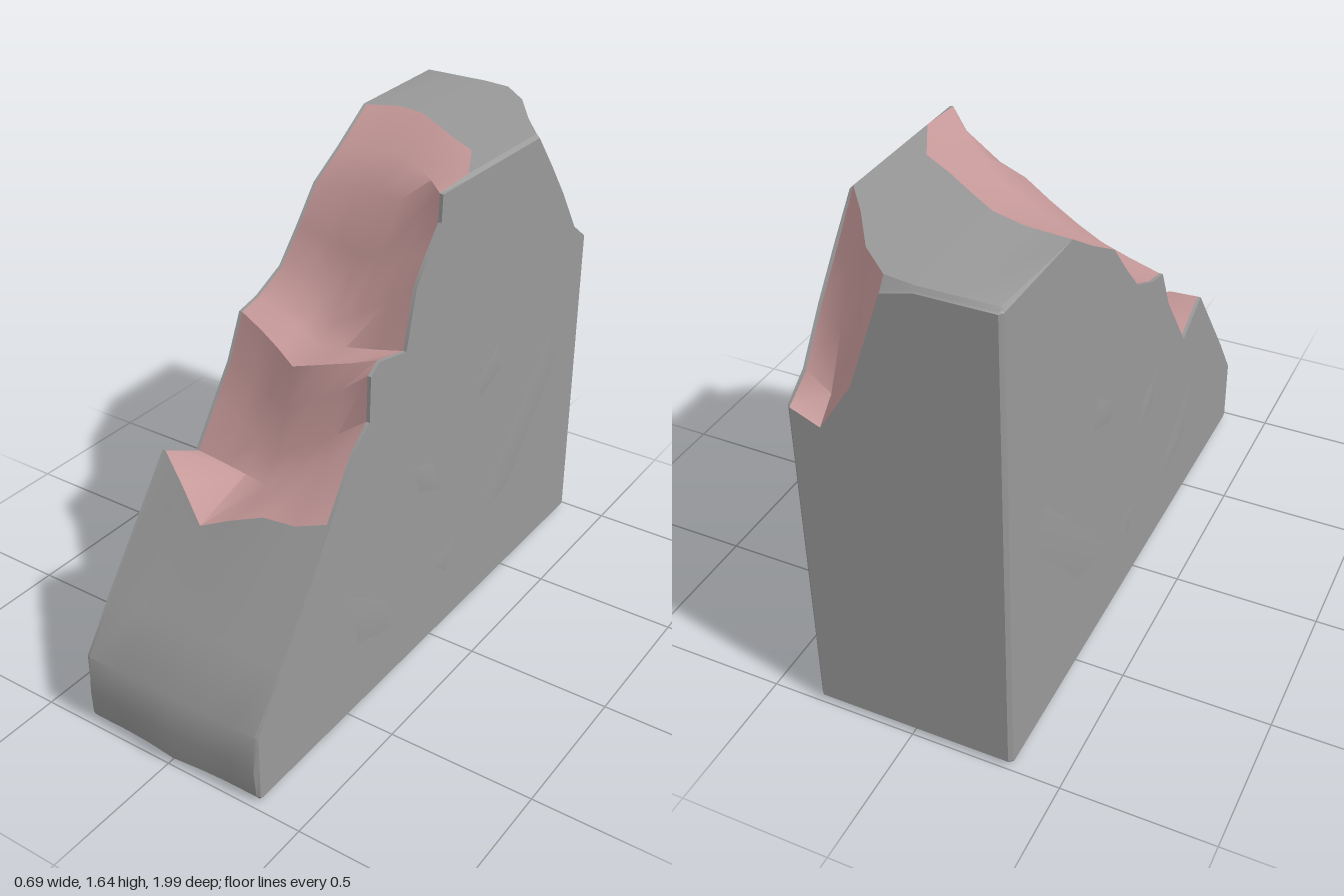
import * as THREE from 'three';
import { toCreasedNormals } from 'three/addons/utils/BufferGeometryUtils.js';

const grey = new THREE.MeshStandardMaterial({ color: 0x999999 });
const pink = new THREE.MeshStandardMaterial({ color: 0xc99b9b });
const lerp = THREE.MathUtils.lerp, clamp = THREE.MathUtils.clamp;

// Stations across the width of the wall
const X = [-0.325, -0.2, -0.09, 0.01, 0.12, 0.23, 0.325];
const SIDE = 0.337;
const NOSE = [0.985, 0.985, 0.99, 1, 0.99, 0.985, 0.985];
// Front and top edges of the fracture, as [z, y] per station
const LOW = [[0.56, 0.8], [0.63, 0.75], [0.685, 0.675], [0.665, 0.72], [0.64, 0.76], [0.63, 0.765], [0.6, 0.79]];
const HIGH = [[-0.57, 1.62], [-0.58, 1.635], [-0.55, 1.64], [-0.48, 1.64], [-0.4, 1.64], [-0.33, 1.64], [-0.15, 1.64]];
// Fracture rows between them: [z, y] on the right, middle and left of the wall
const ROWS = [
  [[0.4, 0.72], [0.48, 0.75], [0.48, 0.97]],
  [[0.3, 0.86], [0.42, 0.83], [0.395, 1.04]],
  [[0.22, 0.97], [0.37, 0.96], [0.39, 1.19]],
  [[0.15, 1.12], [0.33, 1.1], [0.34, 1.22]],
  [[0.06, 1.14], [0.2, 1.12], [0.2, 1.19]],
  [[-0.07, 1.2], [0.1, 1.15], [0.15, 1.38]],
  [[-0.17, 1.31], [-0.02, 1.34], [0.09, 1.46]],
  [[-0.27, 1.43], [-0.13, 1.52], [0.02, 1.54]],
  [[-0.42, 1.52], [-0.3, 1.59], [0.015, 1.63]],
];
// Chipped back corner: z of its upper edge, y of its lower edge
const CHIP_Z = [-0.975, -0.975, -0.975, -0.96, -0.86, -0.7, -0.58];
const CHIP_Y = [1.625, 1.625, 1.625, 1.6, 1.28, 1.11, 1.15];
const CHIP_STEPS = [[0.25, 0.28], [0.5, 0.55], [0.76, 0.87]];

// Closed outline of the wall at one station, running bottom, front, top, back
function outline(i) {
  const t = i / 3, k = Math.min(1, Math.floor(t));
  const p = [[-0.97, 0], [0.96, 0], [NOSE[i] - 0.01, 0.02], [NOSE[i], 0.12], [0.975, 0.25], [0.85, 0.42]];
  const low = p.length;
  p.push(LOW[i]);
  for (const r of ROWS) p.push([0, 1].map((c) => lerp(r[k][c], r[k + 1][c], t - k)));
  p.push(HIGH[i]);
  const high = p.length - 1;
  p.push([CHIP_Z[i], 1.64]);
  const chip = p.length - 1;
  for (const [a, b] of CHIP_STEPS) p.push([lerp(CHIP_Z[i], -0.99, a), lerp(1.64, CHIP_Y[i], b)]);
  p.push([-0.99, CHIP_Y[i]]);
  const chipEnd = p.length - 1;
  p.push([-0.99, 0.6], [-0.99, 0.02]);
  return { p, low, high, chip, chipEnd };
}

function makeMesh(name, pos, material, crease) {
  const g = new THREE.BufferGeometry();
  g.setAttribute('position', new THREE.Float32BufferAttribute(pos, 3));
  const mesh = new THREE.Mesh(toCreasedNormals(g, crease), material);
  mesh.name = name;
  return mesh;
}

// Shallow scar: a low faceted mound on a side face, corners given as [z, y]
function scar(sign, corners, depth) {
  const n = corners.length, pos = [];
  const c = [0, 1].map((k) => corners.reduce((s, p) => s + p[k], 0) / n);
  const area = corners.reduce((s, p, i) => {
    const q = corners[(i + 1) % n];
    return s + p[0] * q[1] - q[0] * p[1];
  }, 0);
  const flip = (area > 0) === (sign > 0);
  corners.forEach((p, i) => {
    const q = corners[(i + 1) % n];
    const [a, b] = flip ? [q, p] : [p, q];
    pos.push(sign * SIDE, a[1], a[0], sign * SIDE, b[1], b[0], sign * (SIDE + depth), c[1], c[0]);
  });
  return makeMesh('sideScar', pos, grey, 0.6);
}

export function createModel() {
  const group = new THREE.Group();
  const stone = [], broken = [], chipped = [];
  const cols = X.map((x, i) => outline(i));
  const { low, high, chip, chipEnd } = cols[0];
  const n = cols[0].p.length;
  const quad = (out, a, b, c, d) => out.push(...a, ...b, ...c, ...a, ...c, ...d);
  const at = (i, j) => [X[i], cols[i].p[j % n][1], cols[i].p[j % n][0]];

  // Skin around the wall, sorted into plain stone and fracture
  for (let i = 0; i < X.length - 1; i++) {
    for (let j = 0; j < n; j++) {
      const isBroken = j >= low && j < high;
      const isChip = j >= chip && j < chipEnd && i >= 3;
      const out = isBroken ? broken : isChip ? chipped : stone;
      quad(out, at(i, j), at(i + 1, j), at(i + 1, j + 1), at(i, j + 1));
    }
  }

  // Side faces with a narrow bevel
  for (const [i, sign] of [[0, -1], [X.length - 1, 1]]) {
    const cap = cols[i].p.map(([z, y]) => new THREE.Vector2(clamp(z, -0.978, 0.97), clamp(y, 0.012, 1.628)));
    const v = (j) => [sign * SIDE, cap[j % n].y, cap[j % n].x];
    for (let j = 0; j < n; j++) {
      if (sign > 0) quad(stone, at(i, j), v(j), v(j + 1), at(i, j + 1));
      else quad(stone, v(j), at(i, j), at(i, j + 1), v(j + 1));
    }
    for (const [a, b, c] of THREE.ShapeUtils.triangulateShape(cap, [])) {
      const cross = cap[b].clone().sub(cap[a]).cross(cap[c].clone().sub(cap[a]));
      const order = (cross < 0) === (sign > 0) ? [a, b, c] : [a, c, b];
      for (const k of order) stone.push(...v(k));
    }
  }
  group.add(makeMesh('stoneBody', stone, grey, 0.6));
  group.add(makeMesh('fractureFace', broken, pink, 0.8));
  group.add(makeMesh('chippedCorner', chipped, pink, 0.8));

  // Worn marks on both sides
  for (const sign of [-1, 1]) {
    group.add(scar(sign, [[0.5, 0.47], [0.28, 0.32], [0.27, 0.2], [0.45, 0.26]], 0.008));
    group.add(scar(sign, [[-0.24, 0.88], [-0.37, 0.97], [-0.4, 0.87], [-0.28, 0.82]], 0.007));
    group.add(scar(sign, [[-0.25, 0.3], [-0.75, 0.85], [-0.83, 0.74], [-0.5, 0.36]], 0.008));
    group.add(scar(sign, [[0.15, 0.76], [0.04, 0.72], [-0.04, 0.58], [0.1, 0.64]], 0.007));
    group.add(scar(sign, [[0.02, 0.3], [-0.13, 0.33], [-0.08, 0.22]], 0.006));
  }
  return group;
}
